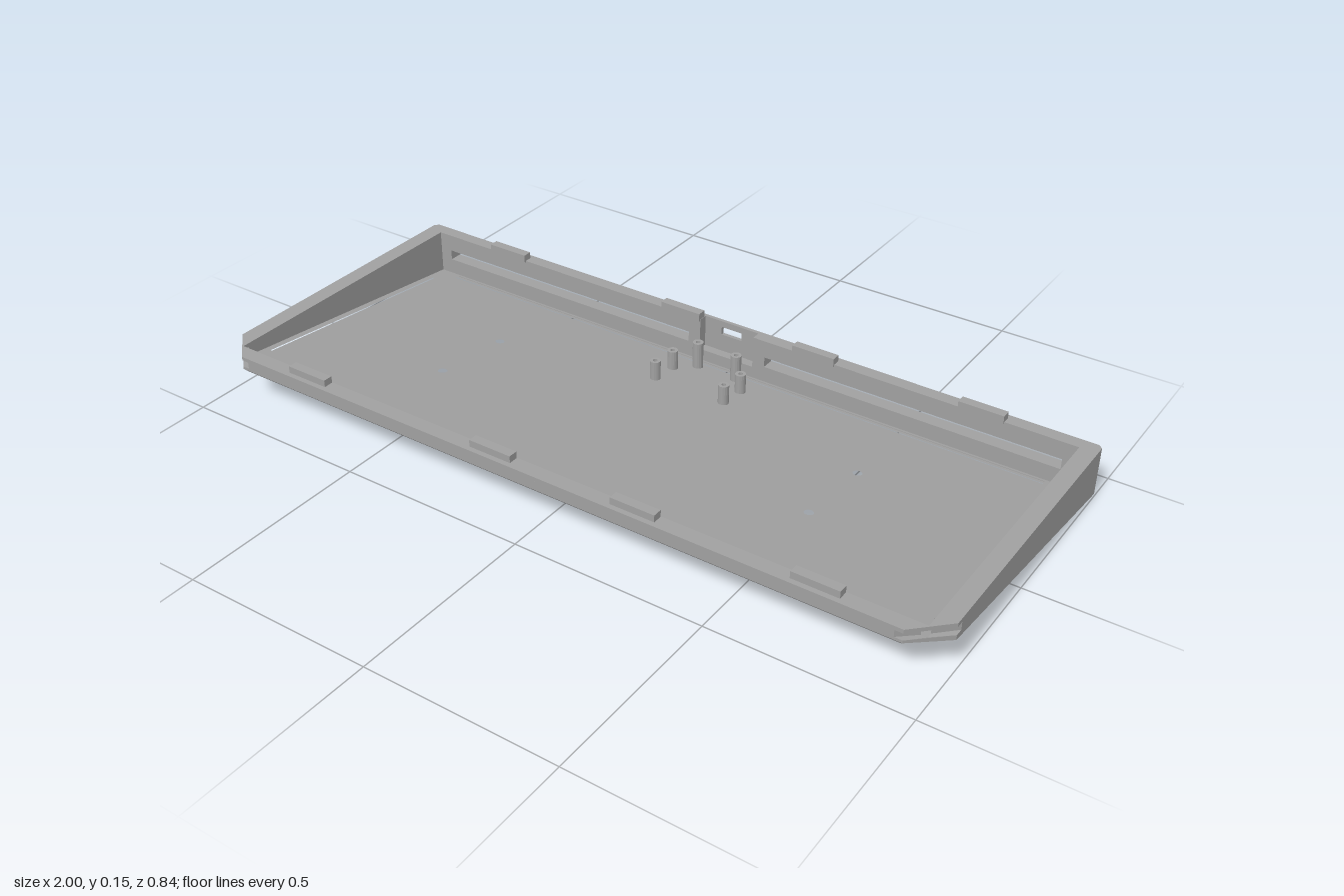
import * as THREE from 'three';

const TOP = 0.137;
const SKIN = 0.008, FLOOR = 0.015;
const slope = (z) => 0.112 * (z + 0.42);
const above = (h) => (z) => slope(z) + h;
const level = (h) => () => h;

const poly = (pts, Type = THREE.Shape) => new Type(pts.map(([x, z]) => new THREE.Vector2(x, -z)));
const rect = (x0, x1, z0, z1) => [[x0, z0], [x1, z0], [x1, z1], [x0, z1]];
const octagon = (x, z0, z1, c) => [
  [-x + c, z0], [x - c, z0], [x, z0 + c], [x, z1 - c],
  [x - c, z1], [-x + c, z1], [-x, z1 - c], [-x, z0 + c]];
const disc = (x, z, r) => new THREE.Path().absarc(x, -z, r, 0, Math.PI * 2, true);

// Plan-view shape raised between two heights that may depend on z
function prism(pts, bottom, top, holes = []) {
  const shape = poly(pts);
  shape.holes.push(...holes);
  const g = new THREE.ExtrudeGeometry(shape, { depth: 1, bevelEnabled: false, curveSegments: 8 });
  g.rotateX(-Math.PI / 2);
  const p = g.attributes.position;
  for (let i = 0; i < p.count; i++) {
    const z = p.getZ(i);
    p.setY(i, p.getY(i) > 0.5 ? top(z) : bottom(z));
  }
  g.computeVertexNormals();
  return g;
}

// Upright plate drawn in x and y, running from z0 to z1
function plate(pts, z0, z1, holes) {
  const shape = new THREE.Shape(pts.map(([x, y]) => new THREE.Vector2(x, y)));
  for (const [x0, x1, y0, y1] of holes) {
    shape.holes.push(new THREE.Path(rect(x0, x1, y0, y1).map(([x, y]) => new THREE.Vector2(x, y))));
  }
  const g = new THREE.ExtrudeGeometry(shape, { depth: z1 - z0, bevelEnabled: false });
  return g.translate(0, 0, z0);
}

export function createModel() {
  const model = new THREE.Group();
  model.name = 'wedgeCase';
  const grey = new THREE.MeshStandardMaterial({ color: 0xa0a0a0 });
  grey.name = 'case grey';
  const add = (name, geometry) => {
    const m = new THREE.Mesh(geometry, grey);
    m.name = name;
    model.add(m);
    return m;
  };

  const outline = [[-0.99, -0.42], [0.99, -0.42], [1, -0.41], [1, 0.34],
    [0.92, 0.42], [-0.92, 0.42], [-1, 0.34], [-1, -0.41]];
  const screws = () => [-0.535, 0.53].flatMap((x) => [-0.12, 0.11].map((z) => disc(x, z, 0.012)));

  // Bottom rim with a bevelled lower edge, outside the ring groove
  const rim = prism(outline, above(0), above(SKIN),
    [poly(octagon(0.9475, -0.3775, 0.3625, 0.03), THREE.Path)]);
  const rp = rim.attributes.position;
  for (let i = 0; i < rp.count; i++) {
    const x = rp.getX(i), z = rp.getZ(i);
    const low = rp.getY(i) < slope(z) + SKIN / 2;
    if (low && (Math.abs(x) > 0.97 || Math.abs(z) > 0.4)) {
      rp.setX(i, x * 0.991);
      rp.setZ(i, z * 0.98);
      rp.setY(i, slope(z * 0.98));
    }
  }
  rim.computeVertexNormals();
  add('bottomRim', rim);

  // Bottom skin with the large recess and four foot recesses
  const feet = [-0.88, 0.88].flatMap((x) => [-0.3, 0.285].map((z) => disc(x, z, 0.032)));
  add('bottomSkin', prism(octagon(0.9325, -0.3625, 0.3475, 0.03), above(0), above(SKIN),
    [poly(octagon(0.67, -0.17, 0.17, 0.08), THREE.Path), ...feet]));

  // Floor with perimeter light slots and screw holes
  const slots = [
    rect(-0.89, 0.89, -0.3775, -0.3625), rect(-0.89, 0.89, 0.3475, 0.3625),
    rect(-0.9475, -0.9325, -0.32, 0.31), rect(0.9325, 0.9475, -0.32, 0.31),
  ].map((r) => poly(r, THREE.Path));
  add('floor', prism(outline, above(SKIN), above(FLOOR), [...slots, ...screws()]));

  // Side and front walls, with a notch level at the cut corners
  const uShape = [[-1, -0.385], [-1, 0.34], [-0.92, 0.42], [0.92, 0.42], [1, 0.34], [1, -0.385],
    [0.955, -0.385], [0.955, 0.38], [-0.955, 0.38], [-0.955, -0.385]];
  const notchLow = (z) => Math.max(0.106, slope(z) + FLOOR);
  add('lowerWalls', prism(uShape, above(FLOOR), notchLow));
  add('upperWalls', prism(uShape, level(0.127), level(TOP)));
  for (const s of [-1, 1]) {
    add(s > 0 ? 'leftWallMiddle' : 'rightWallMiddle', prism(
      [[s, -0.385], [s, 0.32], [s * 0.955, 0.365], [s * 0.955, -0.385]], notchLow, level(0.127)));
  }
  add('frontWallMiddle', prism(
    [[-0.9, 0.42], [0.9, 0.42], [0.94, 0.38], [-0.94, 0.38]], notchLow, level(0.127)));

  // Back wall: outer plate with softened ends, inner plate thinned at the port
  const vents = [[-0.92, -0.115, 0.062, 0.09], [0.115, 0.92, 0.062, 0.09]];
  const outer = plate(rect(-1, 1, 0.013, TOP), -0.42, -0.41, [...vents, [-0.03, 0.03, 0.098, 0.12]]);
  const op = outer.attributes.position;
  for (let i = 0; i < op.count; i++) {
    if (Math.abs(op.getX(i)) > 0.99 && op.getZ(i) < -0.415) op.setX(i, Math.sign(op.getX(i)) * 0.99);
  }
  outer.computeVertexNormals();
  add('backWallOuter', outer);
  add('backWallInner', plate([[-1, 0.013], [1, 0.013], [1, TOP], [0.08, TOP], [0.08, 0.05],
    [-0.08, 0.05], [-0.08, TOP], [-1, TOP]], -0.41, -0.385, vents));

  // Locating tabs along the front and back rims
  for (const x of [-0.71, -0.14, 0.255, 0.71]) {
    for (const z of [-0.393, 0.394]) {
      const tab = add('rimTab', new THREE.BoxGeometry(0.118, 0.022, 0.025));
      tab.position.set(x, 0.144, z);
    }
  }

  // Hollow standoffs for the circuit board
  const posts = [[-0.105, -0.295, 0.055], [0.1, -0.295, 0.055], [-0.105, -0.215, 0.055],
    [0.1, -0.215, 0.055], [-0.06, -0.345, 0.075], [0.055, -0.345, 0.075]];
  for (const [x, z, h] of posts) {
    const ring = [[0.014, 0], [0.014, h], [0.006, h], [0.006, 0.01], [0, 0.01]];
    const g = new THREE.LatheGeometry(ring.map(([r, y]) => new THREE.Vector2(r, y)), 16).toNonIndexed();
    g.computeVertexNormals();
    add('standoff', g).position.set(x, slope(z) + FLOOR - 0.002, z);
  }
  return model;
}
